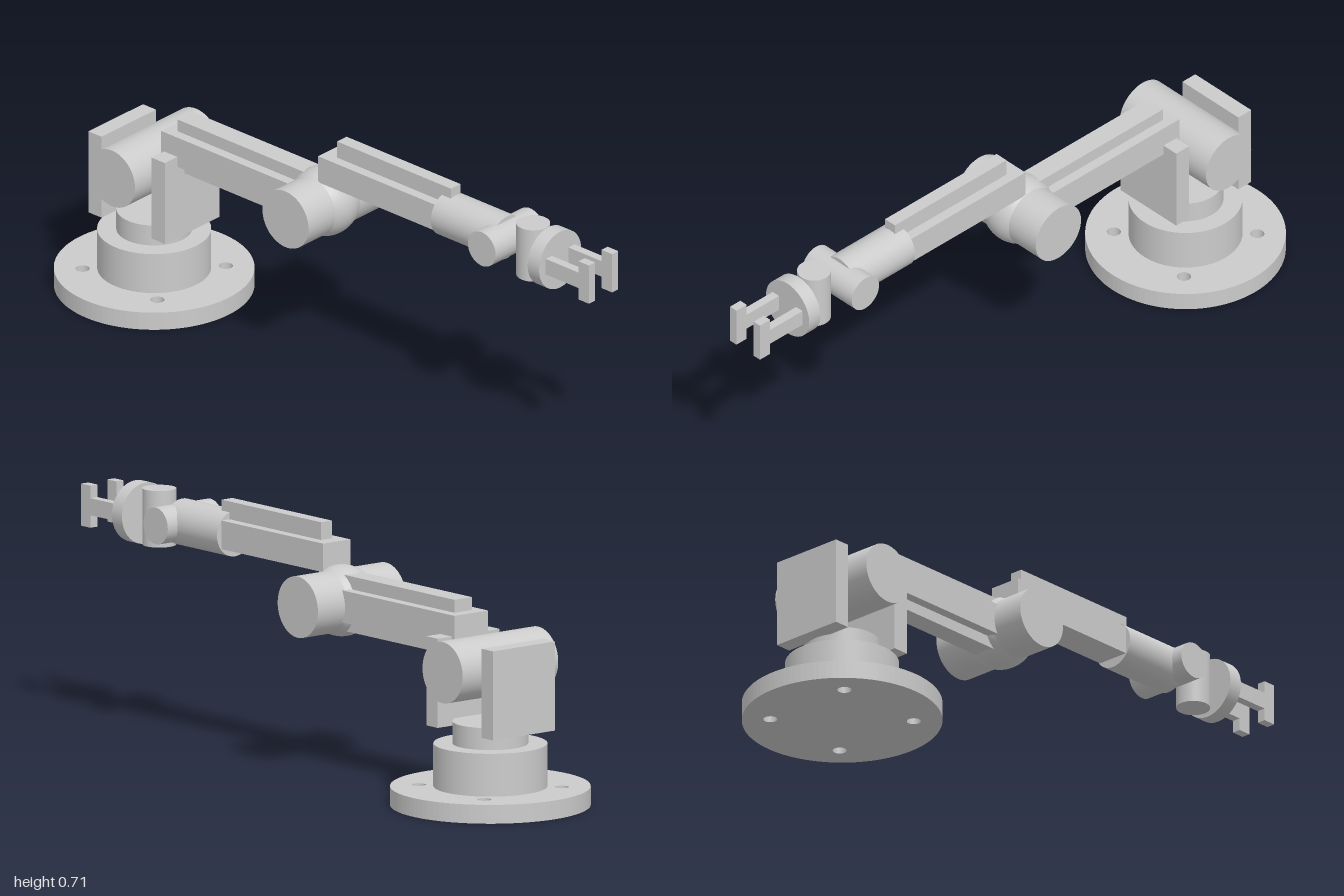
import * as THREE from 'three';

const grey = new THREE.MeshStandardMaterial({ color: 0xcccccc });

export function createModel() {
  const model = new THREE.Group();
  const add = (name, geometry, x, y, z) => {
    const mesh = new THREE.Mesh(geometry, grey);
    mesh.name = name;
    mesh.position.set(x, y, z);
    model.add(mesh);
    return mesh;
  };
  // Box given by its lower and upper limits on each axis
  const box = (name, [x0, x1], [y0, y1], [z0, z1]) =>
    add(name, new THREE.BoxGeometry(x1 - x0, y1 - y0, z1 - z0),
      (x0 + x1) / 2, (y0 + y1) / 2, (z0 + z1) / 2);
  // Cylinder centred on a point, lying along the chosen axis
  const cylinder = (name, axis, radius, length, x, y, z = 0) => {
    const geometry = new THREE.CylinderGeometry(radius, radius, length, 64);
    if (axis === 'x') geometry.rotateZ(-Math.PI / 2);
    if (axis === 'z') geometry.rotateX(Math.PI / 2);
    return add(name, geometry, x, y, z);
  };

  const baseX = -0.717, elbowX = -0.067, elbowY = 0.49, wristY = 0.612;

  // Base flange with four bolt holes
  const flange = new THREE.Shape().absarc(0, 0, 0.283, 0, Math.PI * 2);
  for (const sx of [-1, 1]) for (const sy of [-1, 1]) {
    flange.holes.push(new THREE.Path().absarc(sx * 0.143, sy * 0.143, 0.02, 0, Math.PI * 2, true));
  }
  const flangeGeometry = new THREE.ExtrudeGeometry(flange, { depth: 0.054, bevelEnabled: false, curveSegments: 48 });
  flangeGeometry.rotateX(-Math.PI / 2);
  add('baseFlange', flangeGeometry, baseX, 0, 0);

  // Turntable
  cylinder('baseColumn', 'y', 0.161, 0.123, baseX, 0.1155);
  cylinder('baseNeck', 'y', 0.107, 0.064, baseX, 0.208);

  // Shoulder
  box('shoulderPlateBack', [-0.864, -0.814], [0.22, 0.476], [-0.114, 0.114]);
  box('shoulderPlateFront', [-0.622, -0.572], [0.22, 0.476], [-0.114, 0.114]);
  cylinder('shoulderJoint', 'z', 0.088, 0.352, baseX, 0.401);

  // Upper arm with a rib above and below
  box('upperArm', [-0.634, elbowX], [0.445, 0.537], [-0.062, 0.062]);
  box('upperArmRib', [-0.598, elbowX], [0.413, 0.574], [-0.032, 0.032]);

  // Elbow
  cylinder('elbowJoint', 'z', 0.088, 0.324, elbowX, elbowY);
  add('elbowBall', new THREE.SphereGeometry(0.102, 48, 32), elbowX, elbowY, 0);

  // Forearm
  box('forearm', [-0.045, 0.42], [0.573, 0.655], [-0.05, 0.05]);
  box('forearmRib', [0, 0.435], [0.64, 0.706], [-0.02, 0.02]);
  cylinder('forearmTube', 'x', 0.066, 0.23, 0.515, wristY);

  // Wrist joints and tool flange
  cylinder('wristPitchJoint', 'z', 0.053, 0.202, 0.627, wristY);
  cylinder('wristYawJoint', 'y', 0.048, 0.162, 0.731, wristY);
  cylinder('toolFlange', 'x', 0.088, 0.044, 0.812, wristY);

  // Gripper: two T-shaped fingers
  for (const side of [1, -1]) {
    const z = side > 0 ? [0.035, 0.061] : [-0.061, -0.035];
    const prefix = side > 0 ? 'near' : 'far';
    box(prefix + 'Finger', [0.83, 0.962], [0.588, 0.637], z);
    box(prefix + 'FingerTip', [0.96, 1], [0.552, 0.673], z);
  }
  return model;
}
